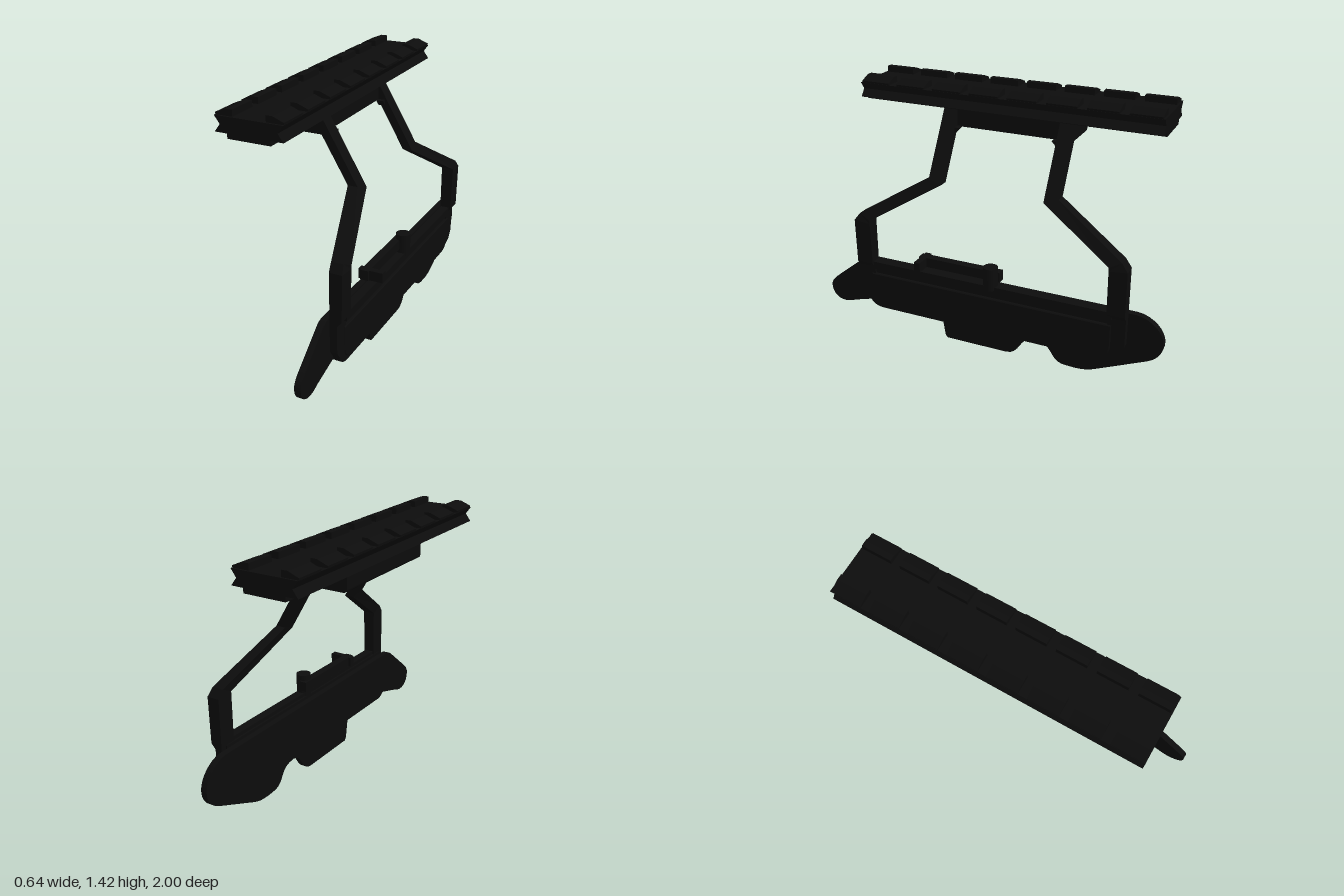
import * as THREE from 'three';

const material = new THREE.MeshStandardMaterial({ color: 0x0c0c0c });

function add(parent, name, geometry) {
  const mesh = new THREE.Mesh(geometry, material);
  mesh.name = name;
  parent.add(mesh);
  return mesh;
}

function box(parent, name, x0, x1, y0, y1, z0, z1) {
  const mesh = add(parent, name, new THREE.BoxGeometry(x1 - x0, y1 - y0, z1 - z0));
  mesh.position.set((x0 + x1) / 2, (y0 + y1) / 2, (z0 + z1) / 2);
  return mesh;
}

const shapeOf = (pts) => new THREE.Shape(pts.map(([a, b]) => new THREE.Vector2(a, b)));

// Outline in (z, y), given thickness from x0 to x1
function sidePanel(shape, x0, x1, bevel = 0) {
  const geo = new THREE.ExtrudeGeometry(shape, {
    depth: x1 - x0 - 2 * bevel, bevelEnabled: bevel > 0, bevelSize: bevel,
    bevelOffset: -bevel, bevelThickness: bevel, bevelSegments: 1, curveSegments: 8,
  });
  return geo.rotateY(-Math.PI / 2).translate(x1 - bevel, 0, 0);
}

// Outline in (x, y), running from z0 to z1
function bar(shape, z0, z1) {
  return new THREE.ExtrudeGeometry(shape, { depth: z1 - z0, bevelEnabled: false, curveSegments: 6 })
    .translate(0, 0, z0);
}

function roundedRect(z0, z1, y0, y1, r) {
  const s = new THREE.Shape();
  s.moveTo(z0, y1);
  s.lineTo(z0, y0 + r);
  s.quadraticCurveTo(z0, y0, z0 + r, y0);
  s.lineTo(z1 - r, y0);
  s.quadraticCurveTo(z1, y0, z1, y0 + r);
  s.lineTo(z1, y1);
  return s;
}

// Flat-sided loft through four-cornered rings
function loft(rings) {
  const pos = [];
  const quad = (a, b, c, d) => pos.push(...a, ...b, ...c, ...a, ...c, ...d);
  for (let i = 0; i < rings.length - 1; i++) {
    for (let j = 0; j < 4; j++) {
      const k = (j + 1) % 4;
      quad(rings[i][j], rings[i + 1][j], rings[i + 1][k], rings[i][k]);
    }
  }
  quad(...rings[0]);
  quad(...[...rings[rings.length - 1]].reverse());
  const geo = new THREE.BufferGeometry();
  geo.setAttribute('position', new THREE.Float32BufferAttribute(pos, 3));
  geo.computeVertexNormals();
  return geo;
}

// Side plate with a drooping nose, central block and rear lobe
function buildSidePlate(parent) {
  const s = new THREE.Shape();
  s.moveTo(0.72, 0.405);
  s.lineTo(-0.85, 0.405);
  s.bezierCurveTo(-0.93, 0.4, -1, 0.33, -1, 0.265);
  s.bezierCurveTo(-1, 0.21, -0.97, 0.17, -0.91, 0.145);
  s.lineTo(-0.64, 0.025);
  s.bezierCurveTo(-0.58, 0, -0.52, 0.005, -0.46, 0.01);
  s.bezierCurveTo(-0.38, 0.03, -0.42, 0.12, -0.29, 0.12);
  s.bezierCurveTo(-0.21, 0.115, -0.22, 0, -0.13, 0);
  s.lineTo(0.23, 0);
  s.lineTo(0.242, 0.015);
  s.lineTo(0.26, 0.125);
  s.lineTo(0.64, 0.125);
  s.lineTo(0.68, 0.15);
  s.lineTo(0.84, 0.105);
  s.bezierCurveTo(0.93, 0.06, 1, 0.1, 1, 0.17);
  s.bezierCurveTo(1, 0.21, 0.96, 0.235, 0.93, 0.26);
  s.lineTo(0.78, 0.38);
  s.quadraticCurveTo(0.75, 0.405, 0.72, 0.405);
  add(parent, 'sidePlate', sidePanel(s, 0.165, 0.2));
}

// Clamp body with raised panel, joined to the side plate
function buildClamp(parent) {
  add(parent, 'clampBody', sidePanel(roundedRect(-0.78, 0.71, 0.13, 0.41, 0.1), 0.215, 0.25));
  add(parent, 'clampPanel', sidePanel(roundedRect(-0.74, 0.67, 0.16, 0.35, 0.07), 0.24, 0.265, 0.005));
  box(parent, 'clampTopEdge', 0.225, 0.275, 0.385, 0.43, -0.74, 0.67);
  box(parent, 'clampSlide', 0.195, 0.22, 0.17, 0.39, -0.6, 0.55);
}

// Bent legs, mirrored front to back about z = -0.035
function buildLegs(parent) {
  // Each ring: outer [y, z, x0, x1], inner [y, z, x0, x1]
  const rows = [
    [[1.28, 0.335, -0.085, -0.03], [1.28, 0.257, -0.085, -0.03]],
    [[0.943, 0.335, 0.113, 0.167], [0.918, 0.257, 0.125, 0.18]],
    [[0.718, 0.712, 0.216, 0.281], [0.685, 0.648, 0.22, 0.29]],
    [[0.675, 0.744, 0.22, 0.29], [0.665, 0.648, 0.22, 0.29]],
    [[0.42, 0.744, 0.22, 0.285], [0.42, 0.648, 0.22, 0.285]],
    [[0.39, 0.744, 0.22, 0.26], [0.39, 0.648, 0.22, 0.26]],
    [[0.24, 0.744, 0.22, 0.26], [0.19, 0.648, 0.22, 0.26]],
    [[0.19, 0.71, 0.22, 0.26], [0.17, 0.648, 0.22, 0.26]],
  ];
  const rings = rows.map(([o, i]) => [
    [o[2], o[0], o[1] + 0.035], [o[3], o[0], o[1] + 0.035],
    [i[3], i[0], i[1] + 0.035], [i[2], i[0], i[1] + 0.035],
  ]);
  const geo = loft(rings);
  for (const side of [1, -1]) {
    const leg = add(parent, side > 0 ? 'frontLeg' : 'rearLeg', geo);
    leg.position.z = -0.035;
    leg.scale.z = side;
  }
}

// Block under the rail, joining the two legs
function buildBridge(parent) {
  const s = new THREE.Shape();
  s.moveTo(-0.255, 1.3);
  s.lineTo(-0.255, 1.21);
  s.quadraticCurveTo(-0.255, 1.187, -0.232, 1.187);
  s.lineTo(-0.03, 1.187);
  s.lineTo(-0.03, 1.3);
  add(parent, 'bridgeBlock', bar(s, -0.4, 0.335));
  // Gussets where the legs leave the bridge
  const tri = shapeOf([[0.26, 1.19], [0.26, 1.155], [0.228, 1.19]]);
  const geo = sidePanel(tri, -0.03, 0.01).translate(0, 0, 0.035);
  for (const side of [1, -1]) {
    const gusset = add(parent, 'gusset', geo);
    gusset.position.z = -0.035;
    gusset.scale.z = side;
  }
}

// Accessory rail: notched flanks with a row of teeth along each edge
function buildRail(parent) {
  const cx = -0.14;
  const mirrored = (half) => [
    ...half.map(([x, y]) => [cx + x, y]),
    ...[...half].reverse().map(([x, y]) => [cx - x, y]),
  ];
  const body = [[0.115, 1.28], [0.115, 1.305], [0.182, 1.305], [0.152, 1.345], [0.181, 1.385]];
  add(parent, 'railBody', bar(shapeOf(mirrored(body)), -0.88, 0.81));

  for (let i = 0; i < 8; i++) {
    const z1 = 0.8 - i * 0.215;
    for (const side of [1, -1]) {
      const tooth = [[0.088, 1.38], [0.178, 1.38], [0.181, 1.395], [0.122, 1.418], [0.088, 1.418]]
        .map(([x, y]) => [cx + side * x, y]);
      add(parent, 'railTooth', bar(shapeOf(tooth), z1 - 0.165, z1));
    }
  }
}

// Locking lever with its pivot and finger tab
function buildLever(parent) {
  box(parent, 'leverArm', 0.2, 0.245, 0.45, 0.505, -0.115, 0.37);
  box(parent, 'leverTab', 0.185, 0.32, 0.45, 0.505, 0.325, 0.36);
  const pivot = add(parent, 'leverPivot', new THREE.CylinderGeometry(0.04, 0.04, 0.125, 20));
  pivot.position.set(0.25, 0.472, -0.065);
}

export function createModel() {
  const model = new THREE.Group();
  model.name = 'sideRailMount';
  for (const build of [buildSidePlate, buildClamp, buildLegs, buildBridge, buildRail, buildLever]) {
    build(model);
  }
  return model;
}
